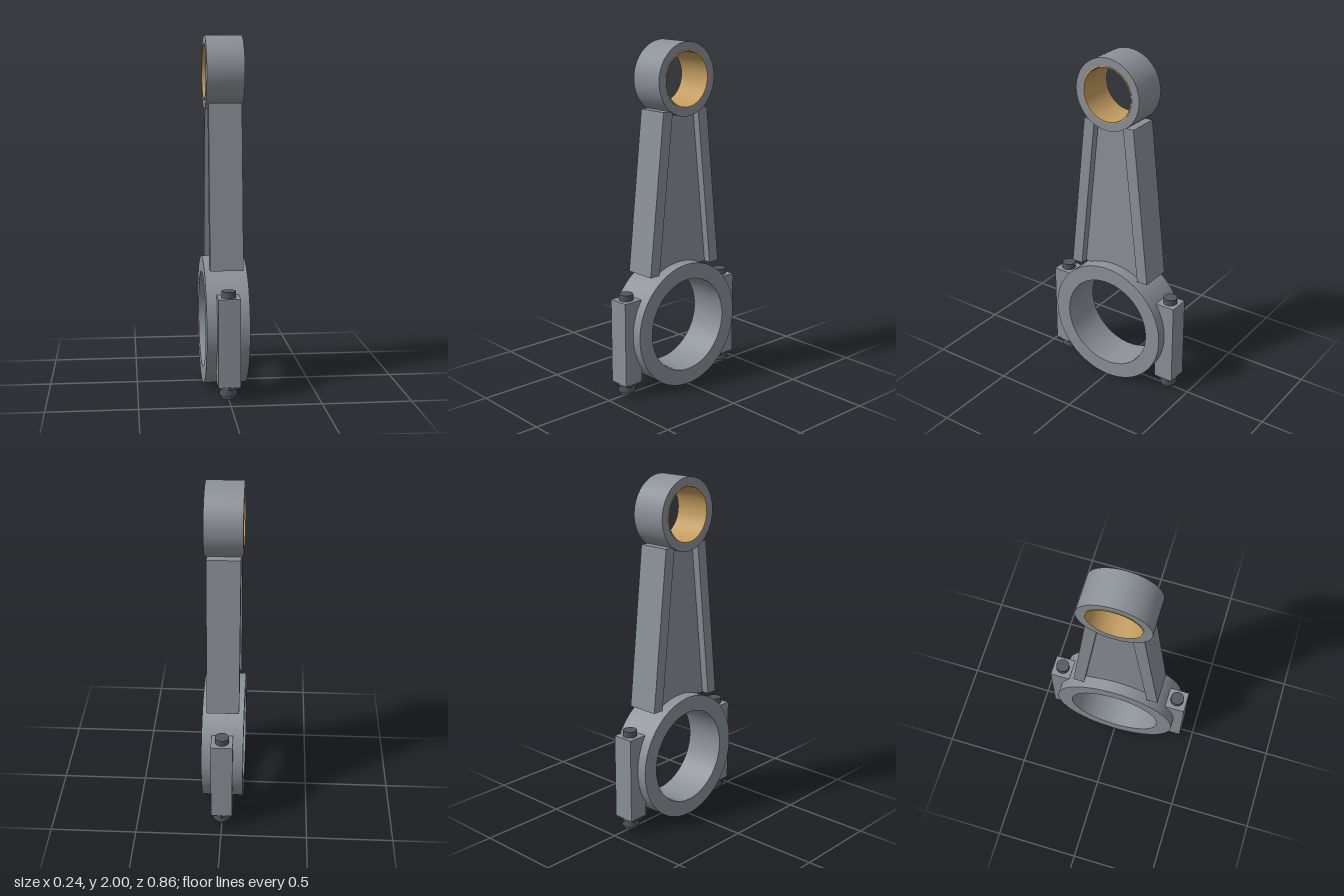
import * as THREE from 'three';
import { toCreasedNormals } from 'three/addons/utils/BufferGeometryUtils.js';

const material = (name, color) => {
  const m = new THREE.MeshStandardMaterial({ color });
  m.name = name;
  return m;
};

export function createModel() {
  const steel = material('forged steel', 0x8c9198);
  const darkSteel = material('dark bolt steel', 0x52565e);
  const bronze = material('bronze', 0xc29c60);

  const model = new THREE.Group();
  model.name = 'connectingRod';

  const add = (name, geometry, mat, x = 0, y = 0, z = 0, parent = model) => {
    const mesh = new THREE.Mesh(geometry, mat);
    mesh.name = name;
    mesh.position.set(x, y, z);
    parent.add(mesh);
    return mesh;
  };

  // Rectangular-section ring with its axis along x
  const ring = (inner, outer, half) => {
    const profile = [[inner, -half], [outer, -half], [outer, half], [inner, half], [inner, -half]]
      .map(([r, h]) => new THREE.Vector2(r, h));
    const g = new THREE.LatheGeometry(profile, 80).rotateZ(Math.PI / 2);
    return toCreasedNormals(g, 0.6);
  };

  // Plate drawn in the z-y plane, centred on x
  const plate = (points, thickness) => {
    const shape = new THREE.Shape(points.map(([z, y]) => new THREE.Vector2(z, y)));
    return new THREE.ExtrudeGeometry(shape, { depth: thickness, bevelEnabled: false })
      .translate(0, 0, -thickness / 2)
      .rotateY(-Math.PI / 2);
  };

  // Bearing eyes and bushing
  add('bigEnd', ring(0.276, 0.368, 0.12), steel, 0, 0.368);
  add('smallEnd', ring(0.16, 0.206, 0.105), steel, 0, 1.794);
  add('bushing', ring(0.153, 0.1605, 0.107), bronze, 0, 1.794);

  // I-beam shank: thin web between two tapering flanges
  const bottom = 0.7, top = 1.625;
  add('web', plate([[-0.197, bottom], [0.197, bottom], [0.096, top], [-0.096, top]], 0.1), steel);
  for (const s of [1, -1]) {
    const outline = [[s * 0.196, bottom], [s * 0.263, bottom], [s * 0.163, top], [s * 0.095, top]];
    add(s > 0 ? 'frontFlange' : 'backFlange', plate(outline, 0.186), steel);
  }

  // Bolt bosses with bolt, hex flange and nut
  for (const s of [1, -1]) {
    const boss = new THREE.Group();
    boss.name = s > 0 ? 'frontBoltBoss' : 'backBoltBoss';
    boss.position.z = s * 0.365;
    add('boss', new THREE.BoxGeometry(0.124, 0.495, 0.118), steel, 0, 0.3275, 0, boss);
    add('bolt', new THREE.CylinderGeometry(0.04, 0.04, 0.6, 32), darkSteel, 0, 0.31, 0, boss);
    const hex = toCreasedNormals(new THREE.CylinderGeometry(0.064, 0.064, 0.018, 6), 0.5);
    add('hexFlange', hex, darkSteel, 0, 0.073, 0, boss);
    add('nut', new THREE.CylinderGeometry(0.05, 0.05, 0.04, 32), darkSteel, 0, 0.047, 0, boss);
    model.add(boss);
  }
  return model;
}
